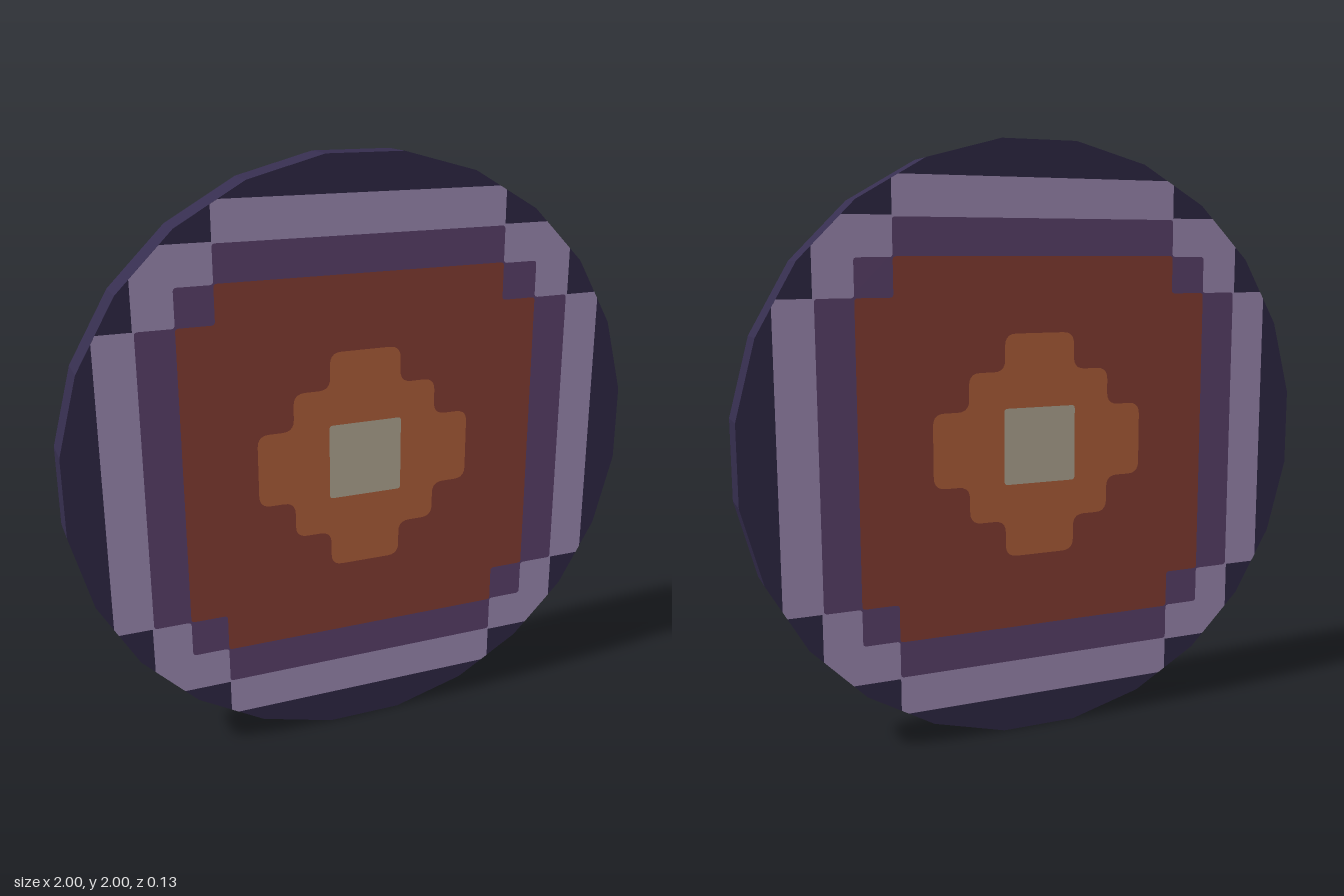
import * as THREE from 'three';

const SIDES = 24, RADIUS = 1 / Math.cos(Math.PI / SIDES), HALF = 0.061, LIFT = 0.0006;

const paint = (name, color) => {
  const m = new THREE.MeshStandardMaterial({ color });
  m.name = name;
  return m;
};

// Corners of the 24-sided disc, counter-clockwise
const rim = Array.from({ length: SIDES }, (_, i) => {
  const a = (i + 0.5) * 2 * Math.PI / SIDES;
  return new THREE.Vector2(RADIUS * Math.cos(a), RADIUS * Math.sin(a));
});

// Stepped outline mirrored from the [x, y] corners of its upper right quarter
function stepped(corners) {
  const q = [];
  corners.forEach(([x, y], i) => {
    q.push([x, y]);
    if (i < corners.length - 1) q.push([x, corners[i + 1][1]]);
  });
  const r = [...q].reverse();
  return [
    ...r,
    ...q.map(([x, y]) => [-x, y]),
    ...r.map(([x, y]) => [-x, -y]),
    ...q.map(([x, y]) => [x, -y]),
  ].map(([x, y]) => new THREE.Vector2(x, y));
}

// Trim an outline to the disc, one rim edge at a time
function trimToRim(points) {
  rim.forEach((a, i) => {
    const b = rim[(i + 1) % SIDES];
    const side = (p) => (b.x - a.x) * (p.y - a.y) - (b.y - a.y) * (p.x - a.x);
    const out = [];
    points.forEach((p, j) => {
      const n = points[(j + 1) % points.length], sp = side(p), sn = side(n);
      if (sp >= 0) out.push(p);
      if (sp * sn < 0) out.push(p.clone().lerp(n, sp / (sp - sn)));
    });
    points = out;
  });
  return points;
}

// Shape with every corner eased by radius r
function roundedShape(points, r) {
  const shape = new THREE.Shape();
  points.forEach((p, i) => {
    const prev = points[(i + points.length - 1) % points.length];
    const next = points[(i + 1) % points.length];
    const a = p.clone().add(prev.clone().sub(p).setLength(r));
    const b = p.clone().add(next.clone().sub(p).setLength(r));
    if (i === 0) shape.moveTo(a.x, a.y);
    else shape.lineTo(a.x, a.y);
    shape.quadraticCurveTo(p.x, p.y, b.x, b.y);
  });
  shape.closePath();
  return shape;
}

export function createModel() {
  const model = new THREE.Group();
  model.name = 'patternedDisc';

  // Faceted disc body
  const body = new THREE.ExtrudeGeometry(new THREE.Shape(rim), { depth: HALF * 2, bevelEnabled: false });
  body.translate(0, 0, -HALF);
  const disc = new THREE.Mesh(body, paint('dark indigo', 0x362e4f));
  disc.name = 'disc';
  model.add(disc);

  // Inlays from the outside in, the same on both faces
  const inlays = [
    ['outerBand', paint('lavender', 0xb29dca),
      new THREE.Shape(trimToRim(stepped([[0.5, 0.88], [0.755, 0.755], [0.88, 0.5]])))],
    ['innerBand', paint('purple', 0x694b7b),
      roundedShape(stepped([[0.5, 0.75], [0.625, 0.625], [0.75, 0.5]]), 0.012)],
    ['field', paint('rust red', 0x97473b),
      roundedShape(stepped([[0.5, 0.628], [0.625, 0.5]]), 0.012)],
    ['blossom', paint('orange', 0xc86d43),
      roundedShape(stepped([[0.125, 0.377], [0.252, 0.252], [0.377, 0.125]]), 0.04)],
    ['centre', paint('cream', 0xcabfa8),
      roundedShape(stepped([[0.129, 0.129]]), 0.012)],
  ];
  inlays.forEach(([name, material, shape], i) => {
    const face = new THREE.ShapeGeometry(shape, 5);
    for (const [label, turn] of [['Front', 0], ['Back', Math.PI]]) {
      const mesh = new THREE.Mesh(face, material);
      mesh.name = name + label;
      mesh.rotation.y = turn;
      mesh.position.z = (HALF + LIFT * (i + 1)) * (turn ? -1 : 1);
      model.add(mesh);
    }
  });

  model.position.y = 1;
  const root = new THREE.Group();
  root.name = 'model';
  root.add(model);
  return root;
}
